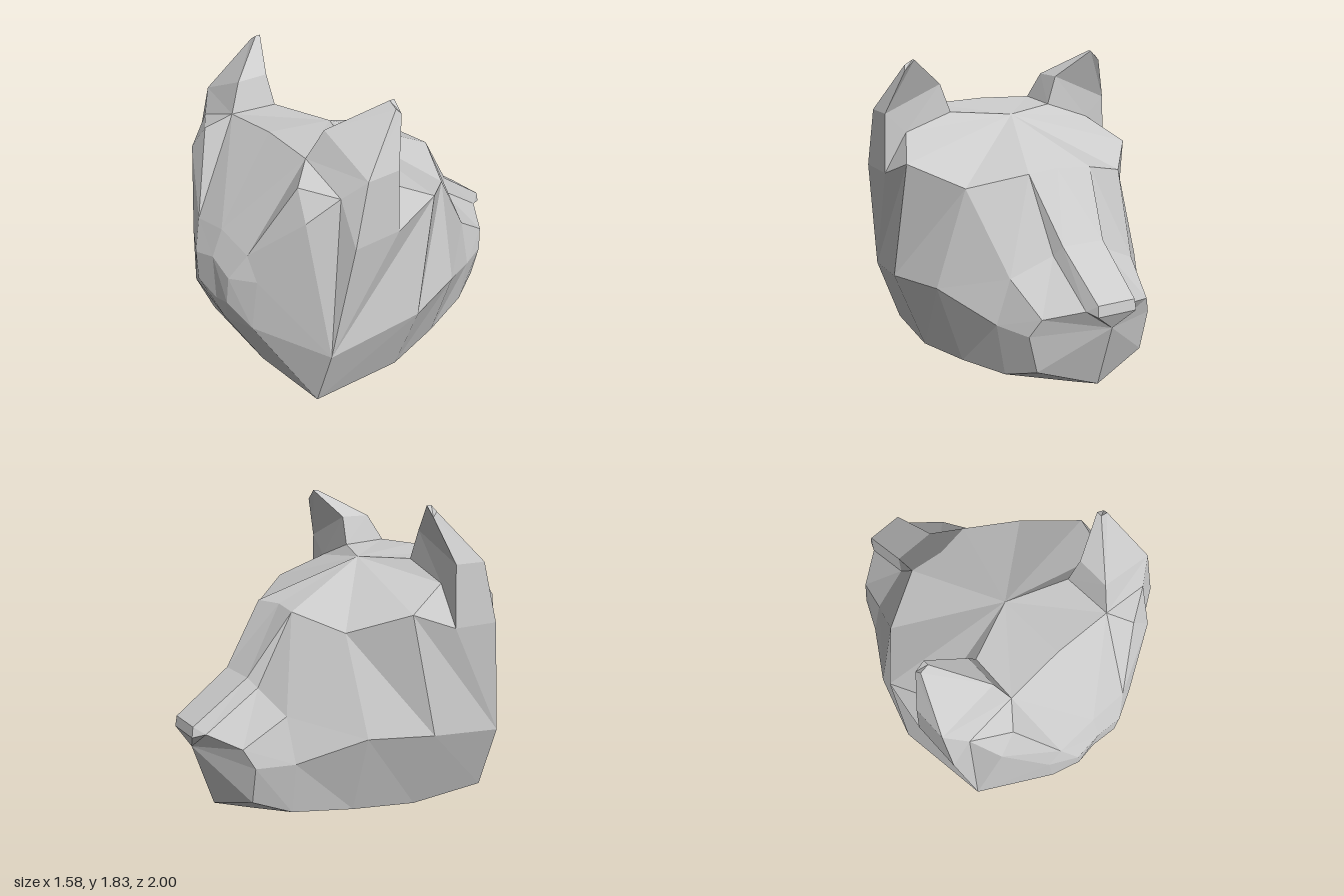
import * as THREE from 'three';

const material = new THREE.MeshStandardMaterial({ color: 0xcccccc, flatShading: true });

// Triangle between two rows of points; repeated points collapse to triangles
function loft(a, b) {
  const tris = [];
  for (let i = 0; i < a.length - 1; i++) {
    tris.push([a[i], a[i + 1], b[i + 1]], [a[i], b[i + 1], b[i]]);
  }
  return tris;
}

// Triangles from one point to each edge of a row
function fan(c, row) {
  return row.slice(1).map((p, i) => [c, row[i], p]);
}

// Mesh from half-side triangles, turned away from an inner point and mirrored in x
function part(name, tris, inner) {
  const pos = [];
  const centre = new THREE.Vector3(...inner);
  for (const tri of tris) {
    const [a, b, c] = tri.map((p) => new THREE.Vector3(...p));
    const n = b.clone().sub(a).cross(c.clone().sub(a));
    if (n.length() < 1e-6) continue;
    const out = a.clone().add(b).add(c).divideScalar(3).sub(centre);
    const order = n.dot(out) < 0 ? [a, c, b] : [a, b, c];
    for (const p of order) pos.push(p.x, p.y, p.z);
    for (const p of order.reverse()) pos.push(-p.x, p.y, p.z);
  }
  const geo = new THREE.BufferGeometry();
  geo.setAttribute('position', new THREE.Float32BufferAttribute(pos, 3));
  geo.computeVertexNormals();
  const mesh = new THREE.Mesh(geo, material);
  mesh.name = name;
  return mesh;
}

export function createModel() {
  const group = new THREE.Group();
  group.name = 'animalHead';

  // Rows running from the neck to the muzzle
  const keel = [[0, 0.03, 0.7], [0, 0.005, 0.16], [0, 0.02, -0.21], [0, 0.03, -0.6], [0, 0.115, -0.83]];
  const jaw = [[0.56, 0.095, 0.7], [0.61, 0.11, 0.16], [0.53, 0.13, -0.21], [0.43, 0.155, -0.55], [0.34, 0.225, -0.75]];
  const cheek = [[0.7, 0.49, 0.7], [0.79, 0.58, 0.16], [0.68, 0.595, -0.21], [0.48, 0.455, -0.55], [0.39, 0.44, -0.75]];

  // Ear rings: base, middle and tip
  const earInFront = [0.35, 1.515, 0.585], earMidFront = [0.65, 1.41, 0.59], earOutFront = [0.77, 1.17, 0.59];
  const earOutBack = [0.77, 1.17, 0.3], earMidBack = [0.63, 1.4, 0.3], earInBack = [0.34, 1.5, 0.3];
  const earBase = [earInFront, earMidFront, earOutFront, earOutBack, earMidBack, earInBack, earInFront];
  const earRing = (a, b, c, d) => [a, b, b, c, c, d, a];
  const earMiddle = earRing([0.4, 1.67, 0.5], [0.755, 1.52, 0.5], [0.755, 1.52, 0.3], [0.4, 1.67, 0.31]);
  const earTip = earRing([0.6, 1.83, 0.24], [0.65, 1.8, 0.24], [0.66, 1.77, 0.21], [0.6, 1.83, 0.21]);

  // Brow, snout and nose corners
  const temple = [0.74, 1.27, 0.03], brow = [0.51, 1.16, -0.25];
  const browIn = [0.2, 1.24, -0.41], browMid = [0, 1.25, -0.38];
  const snoutSide = [0.4, 0.71, -0.56], snoutTip = [0.34, 0.545, -0.8];
  const bridgeFoot = [0.16, 0.82, -0.61], bridgeTop = [0.13, 0.88, -0.66], bridgeMid = [0, 0.88, -0.66];
  const noseFoot = [0.15, 0.6, -0.93], noseTop = [0.115, 0.645, -0.99], noseMid = [0, 0.645, -0.99];
  const noseLow = [0.12, 0.585, -1], noseLowMid = [0, 0.585, -1], lip = [0, 0.49, -0.955];

  // Jaw and cheeks
  group.add(part('jaw', [...loft(keel, jaw), ...loft(jaw, cheek)], [0, 0.5, 0]));
  const upper = [earOutFront, earOutBack, temple, brow, snoutSide, snoutTip];
  group.add(part('cheeks', [
    ...loft([cheek[0], ...cheek], upper),
    [earMidBack, earOutBack, temple],
  ], [0, 0.6, 0]));

  // Skull roof
  const crown = [0, 1.53, 0.57];
  group.add(part('skull', fan([0, 1.48, 0.16],
    [crown, earInFront, earInBack, earMidBack, temple, brow, browIn, browMid]), [0, 0.6, 0]));

  // Wall behind the head with its raised knob
  const knob = [[0, 1.045, 0.91], [0.25, 1, 0.91], [0.33, 0.87, 0.91], [0.3, 0.565, 0.94], [0, 0.45, 0.93]];
  const knobFace = [[0, 0.895, 0.98], [0.17, 0.845, 0.99], [0.15, 0.68, 1], [0, 0.62, 0.98]];
  const nape = [0.45, 1.43, 0.71], side = [0.56, 1.28, 0.745];
  const [k0, k1, k2, k3, k4] = knob;
  group.add(part('neckWall', [
    ...loft([k0, k1, k1, k2, k2, k3, k3, k4],
      [crown, earInFront, nape, side, cheek[0], cheek[0], jaw[0], keel[0]]),
    ...fan(earMidFront, [earInFront, nape, side, cheek[0], earOutFront]),
  ], [0, 0.75, 0]));
  const [f0, f1, f2, f3] = knobFace;
  group.add(part('neckKnob', [...loft([f0, f1, f1, f2, f3], knob), ...fan(f0, [f1, f2, f3])], [0, 0.75, 0]));

  // Snout sides, bridge and flat muzzle end
  group.add(part('snout', [
    ...loft([browIn, bridgeFoot, noseFoot], [brow, snoutSide, snoutTip]),
    ...loft([browMid, bridgeMid, noseMid], [browIn, bridgeTop, noseTop]),
    ...loft([browIn, bridgeTop, noseTop], [browIn, bridgeFoot, noseFoot]),
    ...fan(lip, [noseFoot, snoutTip, cheek[4], jaw[4], keel[4]]),
  ], [0, 0.5, -0.4]));

  // Nose
  group.add(part('nose', [
    ...loft([noseMid, noseTop], [noseLowMid, noseLow]),
    [noseTop, noseLow, noseFoot],
    ...fan(lip, [noseLowMid, noseLow, noseFoot]),
  ], [0, 0.62, -0.92]));

  // Ears
  group.add(part('ears', [
    ...loft(earBase, earMiddle),
    ...loft(earMiddle, earTip),
    ...fan(earTip[0], earTip.slice(1)),
  ], [0.57, 1.5, 0.42]));

  return group;
}
